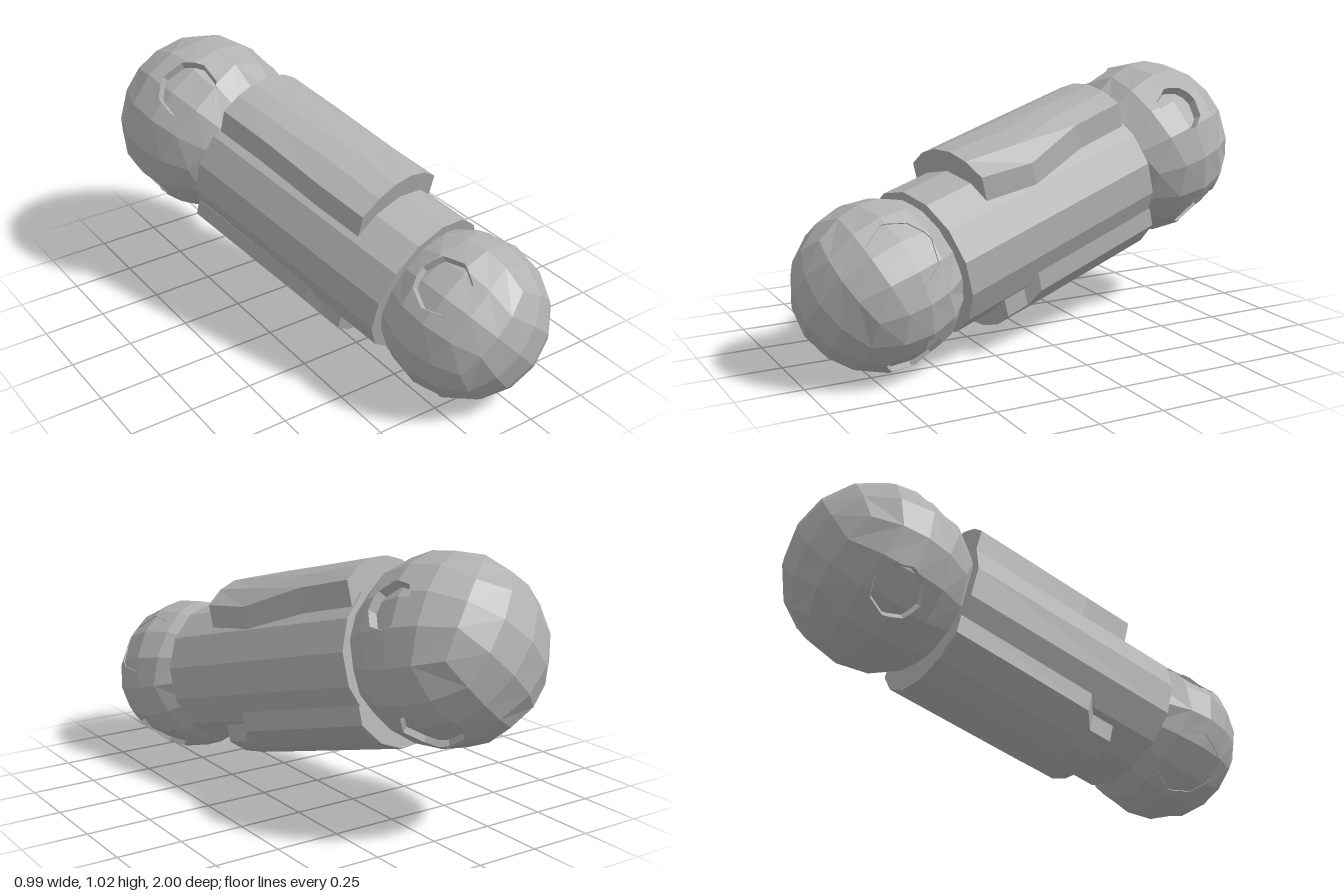
import * as THREE from 'three';

const V = (x, y, z) => new THREE.Vector3(x, y, z);
const bigCentre = V(-0.14, 0.66, -0.64);
const smallCentre = V(0.175, 0.315, 0.685);

// Faceted geometry from convex polygons
function fromPolygons(polys) {
  const pos = [];
  for (const p of polys) {
    for (let i = 1; i < p.length - 1; i++) {
      const area = p[i].clone().sub(p[0]).cross(p[i + 1].clone().sub(p[0])).length();
      if (area < 1e-9) continue;
      for (const v of [p[0], p[i], p[i + 1]]) pos.push(v.x, v.y, v.z);
    }
  }
  const geo = new THREE.BufferGeometry();
  geo.setAttribute('position', new THREE.Float32BufferAttribute(pos, 3));
  geo.computeVertexNormals();
  return geo;
}

// Part of a polygon on one side of a plane through the origin
function clip(poly, n, sign) {
  const out = [];
  poly.forEach((a, i) => {
    const b = poly[(i + 1) % poly.length];
    const da = a.dot(n) * sign, db = b.dot(n) * sign;
    if (da <= 0) out.push(a);
    if ((da < 0 && db > 0) || (da > 0 && db < 0)) out.push(a.clone().lerp(b, da / (da - db)));
  });
  return out;
}

// Cut an octagonal recess with walls and a floor into a ball centred on the origin
function cutSocket(polys, { dir, angle, floor }) {
  const d = V(...dir).normalize();
  const e = V(0, 1, 0).cross(d).normalize(), f = d.clone().cross(e);
  const corner = k => {
    const a = (k + 0.5) * Math.PI / 4;
    return d.clone().multiplyScalar(Math.cos(angle))
      .addScaledVector(e, Math.cos(a) * Math.sin(angle))
      .addScaledVector(f, Math.sin(a) * Math.sin(angle));
  };
  const planes = [];
  for (let k = 0; k < 8; k++) planes.push(corner(k + 1).cross(corner(k)).normalize());
  const result = [];
  for (const poly of polys) {
    if (!poly.some(v => v.clone().normalize().dot(d) > 0.5)) { result.push(poly); continue; }
    let rest = poly;
    for (const n of planes) {
      const outside = clip(rest, n, -1);
      if (outside.length > 2) result.push(outside);
      rest = clip(rest, n, 1);
      if (rest.length < 3) break;
    }
    if (rest.length < 3) continue;
    const low = rest.map(v => v.clone().multiplyScalar(floor));
    result.push(low);
    rest.forEach((p, i) => {
      const j = (i + 1) % rest.length;
      const onRim = planes.some(n => Math.abs(p.dot(n)) < 1e-6 && Math.abs(rest[j].dot(n)) < 1e-6);
      if (onRim) result.push([p, rest[j], low[j], low[i]]);
    });
  }
  return result;
}

// Low-poly ball from a rounded cube grid, turned to follow the limb
function ballGeometry(radius, turn, sockets) {
  const p = new THREE.BoxGeometry(2, 2, 2, 4, 4, 4).toNonIndexed().attributes.position;
  let polys = [];
  for (let i = 0; i < p.count; i += 3) {
    polys.push([0, 1, 2].map(k => {
      const v = V(0, 0, 0).fromBufferAttribute(p, i + k);
      v.set(...v.toArray().map(c => Math.tan(c * Math.PI / 4)));
      return v.normalize().multiplyScalar(radius).applyQuaternion(turn);
    }));
  }
  for (const s of sockets) polys = cutSocket(polys, s);
  return fromPolygons(polys);
}

// Curved armour plate with upright sides, raised above the shaft by lift.
// Stations are [distance along limb, start angle, end angle], in degrees from the top
function plateGeometry(stations, lift, steps = 5) {
  const rings = stations.map(([t, a0, a1]) => {
    const angles = Array.from({ length: steps + 1 },
      (_, k) => THREE.MathUtils.degToRad(a0 + (a1 - a0) * k / steps));
    const top = angles.map(a => V(Math.sin(a) * 0.297, Math.cos(a) * 0.292 + lift, t));
    const base = angles.map(a => V(Math.sin(a) * 0.297, Math.cos(a) * 0.26, t));
    return [...top, ...base.reverse()];
  });
  const polys = [], n = rings[0].length;
  for (let s = 0; s < rings.length - 1; s++) {
    for (let i = 0; i < n; i++) {
      const j = (i + 1) % n;
      polys.push([rings[s + 1][i], rings[s + 1][j], rings[s][j], rings[s][i]]);
    }
  }
  // End faces, one quad per arc step
  for (let k = 0; k < steps; k++) {
    const ids = [k, k + 1, n - 2 - k, n - 1 - k];
    polys.push(ids.map(i => rings[0][i]));
    polys.push(ids.map(i => rings[rings.length - 1][i]).reverse());
  }
  return fromPolygons(polys);
}

export function createModel() {
  const group = new THREE.Group();
  group.name = 'jointedLimb';
  const grey = new THREE.MeshStandardMaterial({ color: 0xb0b0b0 });
  grey.name = 'grey';
  const addMesh = (parent, name, geo) => {
    const mesh = new THREE.Mesh(geo, grey);
    mesh.name = name;
    parent.add(mesh);
    return mesh;
  };

  // Limb frame: z runs from the large ball to the small one
  const limb = new THREE.Group();
  limb.name = 'limb';
  limb.position.copy(bigCentre);
  limb.lookAt(smallCentre);
  group.add(limb);

  // Shaft, slightly flattened
  const shaft = new THREE.CylinderGeometry(0.297, 0.292, 0.96, 14).rotateX(Math.PI / 2)
    .scale(1, 0.965, 1).translate(0, 0, 0.73).toNonIndexed();
  shaft.computeVertexNormals();
  addMesh(limb, 'shaft', shaft);

  // Armour plates, narrower at one end
  addMesh(limb, 'upperPlate', plateGeometry(
    [[0.26, -43, 38], [0.5, -43, 39], [0.78, -45, 50], [1.0, -45, 43]], 0.078));
  addMesh(limb, 'lowerPlate', plateGeometry(
    [[0.25, -58, 58], [0.87, -57, 57], [0.92, -45, 45], [1.02, -45, 45]], 0.058)).rotation.z = Math.PI;

  // Ball joints with two opposite pairs of octagonal sockets
  const turn = limb.quaternion.clone().multiply(
    new THREE.Quaternion().setFromAxisAngle(V(0, 0, 1), Math.PI / 4));
  addMesh(group, 'largeBall', ballGeometry(0.358, turn, [
    { dir: [0.81, 0.58, 0], angle: 0.29, floor: 0.9 },
    { dir: [0.6, -0.69, -0.46], angle: 0.34, floor: 0.93 },
    { dir: [-0.5, 0.73, 0.46], angle: 0.35, floor: 0.91 },
    { dir: [-0.82, -0.57, -0.01], angle: 0.29, floor: 0.91 },
  ])).position.copy(bigCentre);
  addMesh(group, 'smallBall', ballGeometry(0.318, turn, [
    { dir: [0.81, 0.57, 0], angle: 0.44, floor: 0.988 },
    { dir: [0.64, -0.73, -0.2], angle: 0.37, floor: 0.94 },
    { dir: [-0.58, 0.76, 0.23], angle: 0.36, floor: 0.91 },
    { dir: [-0.81, -0.57, 0], angle: 0.44, floor: 0.988 },
  ])).position.copy(smallCentre);

  return group;
}
